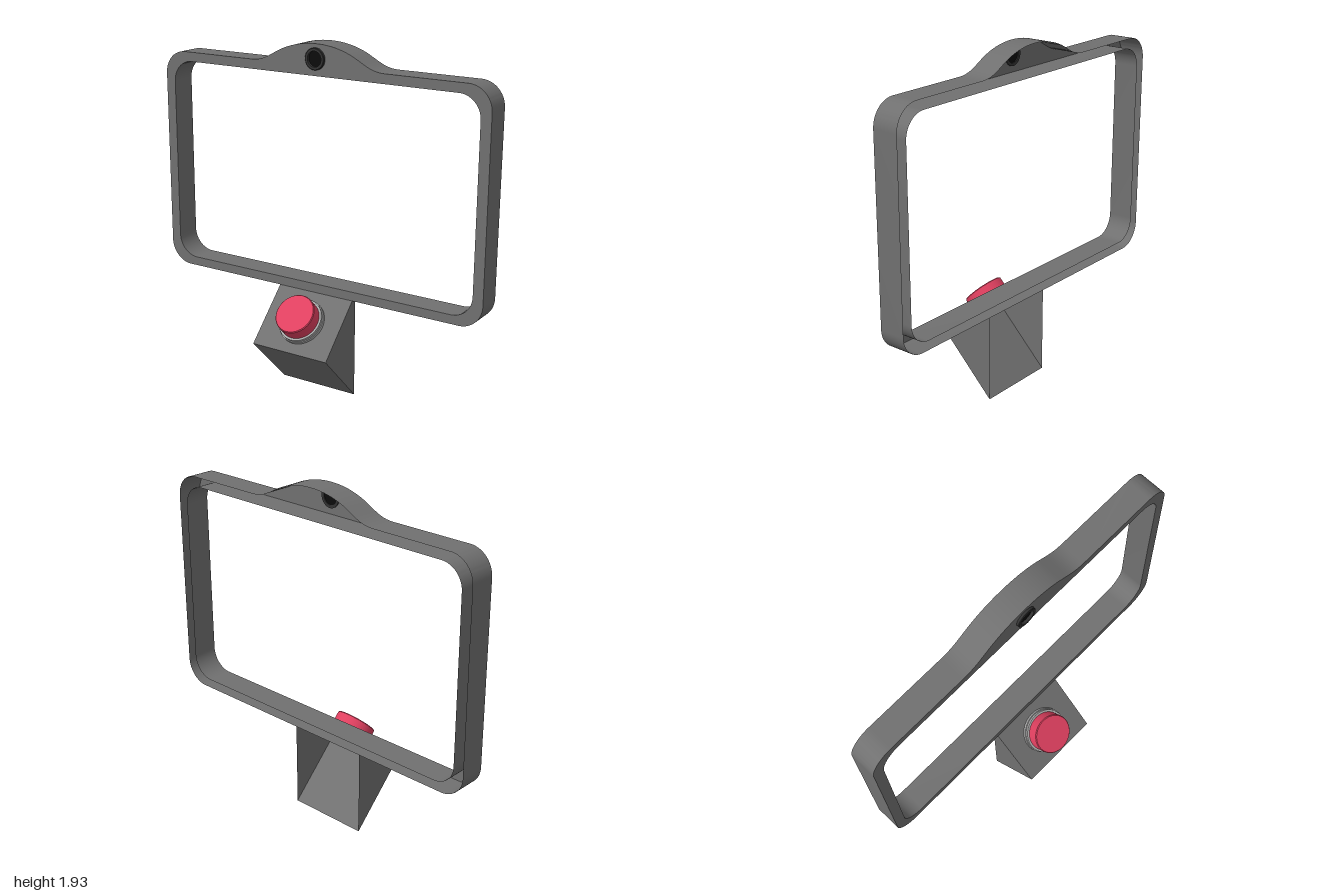
import * as THREE from 'three';
import { toCreasedNormals } from 'three/addons/utils/BufferGeometryUtils.js';

const paint = (color, side = THREE.FrontSide) => new THREE.MeshStandardMaterial({ color, side });

function part(parent, name, geometry, material) {
  const mesh = new THREE.Mesh(geometry, material);
  mesh.name = name;
  parent.add(mesh);
  return mesh;
}

// Rounded rectangle, counter-clockwise from the bottom centre, optionally with the hump on top
function outline(path, x, y0, y1, r, hump) {
  path.moveTo(0, y0);
  path.lineTo(x - r, y0);
  path.absarc(x - r, y0 + r, r, -Math.PI / 2, 0);
  path.lineTo(x, y1 - r);
  path.absarc(x - r, y1 - r, r, 0, Math.PI / 2);
  if (hump) {
    path.lineTo(0.41, y1);
    path.bezierCurveTo(0.33, y1, 0.29, 1.848, 0.22, 1.882);
    path.bezierCurveTo(0.15, 1.913, 0.08, 1.928, 0, 1.928);
    path.bezierCurveTo(-0.08, 1.928, -0.15, 1.913, -0.22, 1.882);
    path.bezierCurveTo(-0.29, 1.848, -0.33, y1, -0.41, y1);
  }
  path.lineTo(-x + r, y1);
  path.absarc(-x + r, y1 - r, r, Math.PI / 2, Math.PI);
  path.lineTo(-x, y0 + r);
  path.absarc(-x + r, y0 + r, r, Math.PI, Math.PI * 1.5);
  path.lineTo(0, y0);
  return path;
}

// Thin wall following a contour from the back plane to the front plane
function wall(points, zBack, zFront) {
  const pos = [], index = [];
  points.forEach((p, i) => {
    pos.push(p.x, p.y, zBack, p.x, p.y, zFront);
    if (i) {
      const a = 2 * i - 2;
      index.push(a, a + 2, a + 3, a, a + 3, a + 1);
    }
  });
  const g = new THREE.BufferGeometry();
  g.setAttribute('position', new THREE.Float32BufferAttribute(pos, 3));
  g.setIndex(index);
  return toCreasedNormals(g, 0.6);
}

export function createModel() {
  const model = new THREE.Group();
  const shell = paint(0x707070, THREE.DoubleSide);
  const zBack = -0.215, zFront = -0.07;

  // Frame: a channel open at the back, with front face, outer wall and inner wall
  const frame = new THREE.Group();
  frame.name = 'frame';
  model.add(frame);
  const face = outline(new THREE.Shape(), 1, 0.565, 1.812, 0.13, true);
  const opening = outline(new THREE.Path(), 0.942, 0.615, 1.76, 0.12, false);
  const lensHole = new THREE.Path().absarc(0, 1.85, 0.045, 0, Math.PI * 2);
  face.holes.push(opening, lensHole);
  part(frame, 'frontFace', new THREE.ShapeGeometry(face, 10).translate(0, 0, zFront), shell);
  part(frame, 'outerWall', wall(face.getPoints(10), zBack, zFront), shell);
  part(frame, 'innerWall', wall(opening.getPoints(10), zBack, zFront), shell);

  // Camera eye in the hump
  const eye = new THREE.Group();
  eye.name = 'cameraEye';
  eye.position.set(0, 1.85, zFront);
  model.add(eye);
  const rim = [[0.042, -0.005], [0.058, -0.005], [0.058, 0.012], [0.055, 0.015], [0.042, 0.015], [0.042, -0.005]];
  const rimGeo = new THREE.LatheGeometry(rim.map(([x, y]) => new THREE.Vector2(x, y)), 32);
  part(eye, 'eyeRim', toCreasedNormals(rimGeo.rotateX(Math.PI / 2), 0.5), paint(0x333333, THREE.DoubleSide));
  part(eye, 'lens', new THREE.CircleGeometry(0.045, 32), paint(0x0c0c0c, THREE.DoubleSide));

  // Wedge stand: hollow, open at the back
  const stand = new THREE.Group();
  stand.name = 'stand';
  model.add(stand);
  const half = 0.235;
  const profile = [[-0.105, 0], [0.19, 0.3], [-0.075, 0.565], [-0.105, 0.565]];
  const side = new THREE.Shape(profile.map(([z, y]) => new THREE.Vector2(-z, y)));
  for (const s of [-1, 1]) {
    const cheek = new THREE.ShapeGeometry(side).rotateY(Math.PI / 2).translate(s * half, 0, 0);
    part(stand, s > 0 ? 'leftCheek' : 'rightCheek', cheek, shell);
  }
  ['undersidePanel', 'buttonPanel', 'topPanel'].forEach((name, i) => {
    const [z0, y0] = profile[i], [z1, y1] = profile[i + 1];
    const length = Math.hypot(z1 - z0, y1 - y0);
    const panel = new THREE.PlaneGeometry(half * 2, length);
    panel.rotateX(Math.atan2(z1 - z0, y1 - y0));
    panel.translate(0, (y0 + y1) / 2, (z0 + z1) / 2);
    part(stand, name, panel, shell);
  });

  // Push button on the sloping panel
  const button = new THREE.Group();
  button.name = 'pushButton';
  button.position.set(0, 0.4325, 0.0575);
  button.rotation.x = Math.PI / 4;
  model.add(button);
  const lathe = (pts) => toCreasedNormals(
    new THREE.LatheGeometry(pts.map(([x, y]) => new THREE.Vector2(x, y)), 48), 0.5);
  part(button, 'buttonCollar', lathe([[0.113, -0.004], [0.13, -0.004], [0.13, 0.018],
    [0.125, 0.018], [0.125, 0.034], [0.1, 0.034]]), paint(0xaaaaaa, THREE.DoubleSide));
  part(button, 'buttonCap', lathe([[0.113, 0.01], [0.113, 0.103], [0.109, 0.108], [0, 0.108]]),
    paint(0xe04060, THREE.DoubleSide));

  return model;
}
